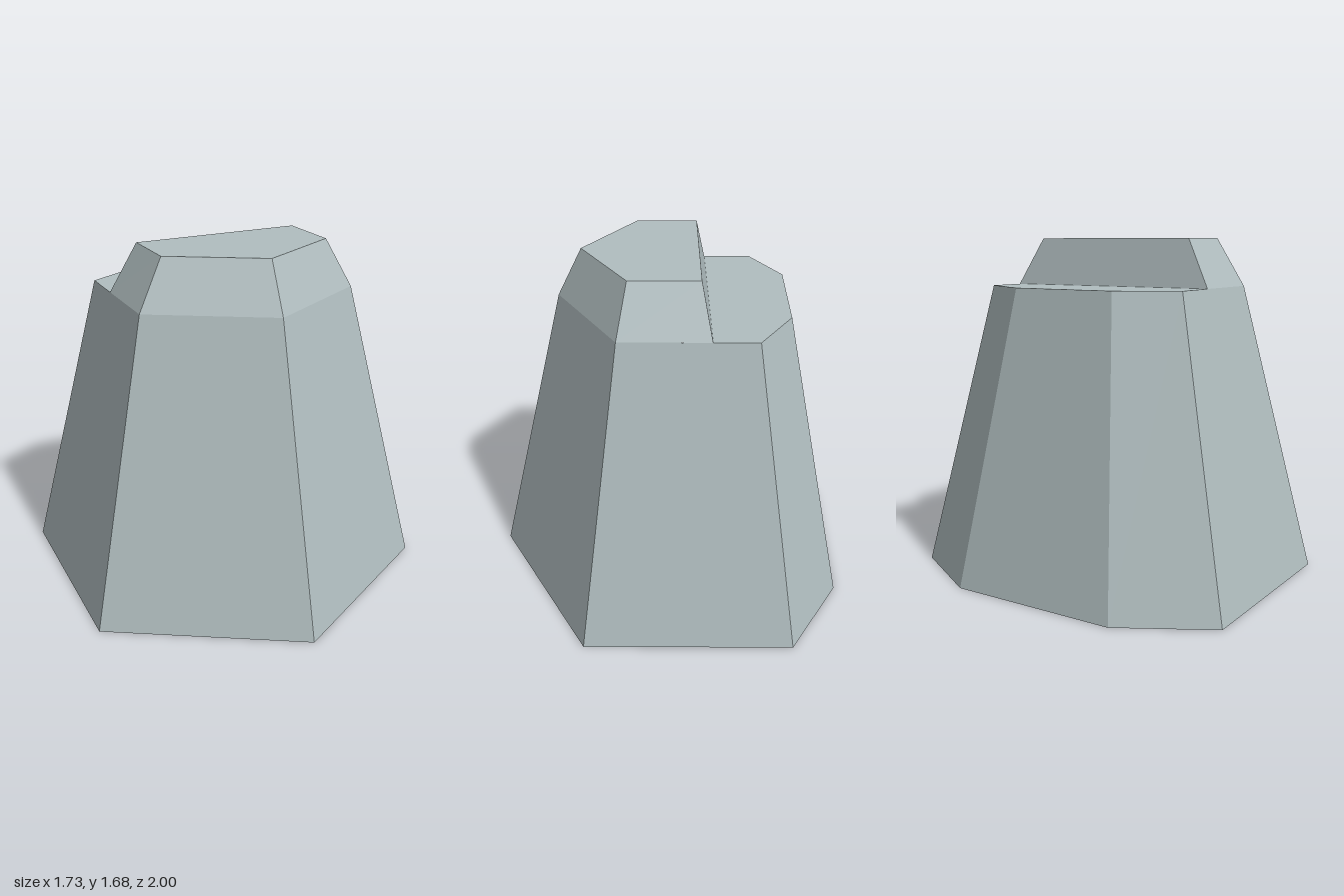
import * as THREE from 'three';

// Outlines are [x, z] points, clockwise seen from above.
const BASE = [[0, -1], [0.866, -0.5], [0.866, 0.5], [0, 1], [-0.866, 0.5], [-0.866, 0], [-0.433, -0.75]];
const TAPER = 0.63;
const STEP_Y = 1.45;
const TOP_Y = 1.685;

const lift = (outline, y) => outline.map(([x, z]) => new THREE.Vector3(x, y, z));

// Flat-sided wall between two rings
function wall(lower, upper) {
  return lower.flatMap((a, i) => {
    const j = (i + 1) % lower.length;
    return [lower[j], a, upper[i], lower[j], upper[i], upper[j]];
  });
}

// Convex cap, facing up or down
function cap(ring, up) {
  const out = [];
  for (let i = 1; i < ring.length - 1; i++) {
    out.push(ring[0], ...(up ? [ring[i + 1], ring[i]] : [ring[i], ring[i + 1]]));
  }
  return out;
}

function part(name, points, material) {
  const geometry = new THREE.BufferGeometry().setFromPoints(points);
  geometry.computeVertexNormals();
  const mesh = new THREE.Mesh(geometry, material);
  mesh.name = name;
  return mesh;
}

export function createModel() {
  const group = new THREE.Group();
  group.name = 'steppedPedestal';
  const stone = new THREE.MeshStandardMaterial({ color: 0xb0bdbf });
  stone.name = 'pale grey stone';

  const shoulder = BASE.map(([x, z]) => [x * TAPER, z * TAPER]);
  const bottom = lift(BASE, 0);
  const rim = lift(shoulder, STEP_Y);

  // Ends of the diagonal step
  const stepBack = [0.18, -0.526];
  const stepFront = [-0.34, 0.434];

  // Tapered body with one clipped corner
  group.add(part('body', [...wall(bottom, rim), ...cap(bottom, false)], stone));

  // Low ledge beside the diagonal step
  const ledge = [stepBack, stepFront, ...shoulder.slice(4), shoulder[0]];
  group.add(part('ledge', cap(lift(ledge, STEP_Y), true), stone));

  // Raised crown with bevelled sides
  const crownFoot = lift([stepBack, ...shoulder.slice(1, 4), stepFront], STEP_Y);
  const crownTop = lift([[0.16, -0.395], [0.443, -0.232], [0.443, 0.252], [0.021, 0.495], [-0.242, 0.346]], TOP_Y);
  group.add(part('crown', [...wall(crownFoot, crownTop), ...cap(crownTop, true)], stone));

  return group;
}
